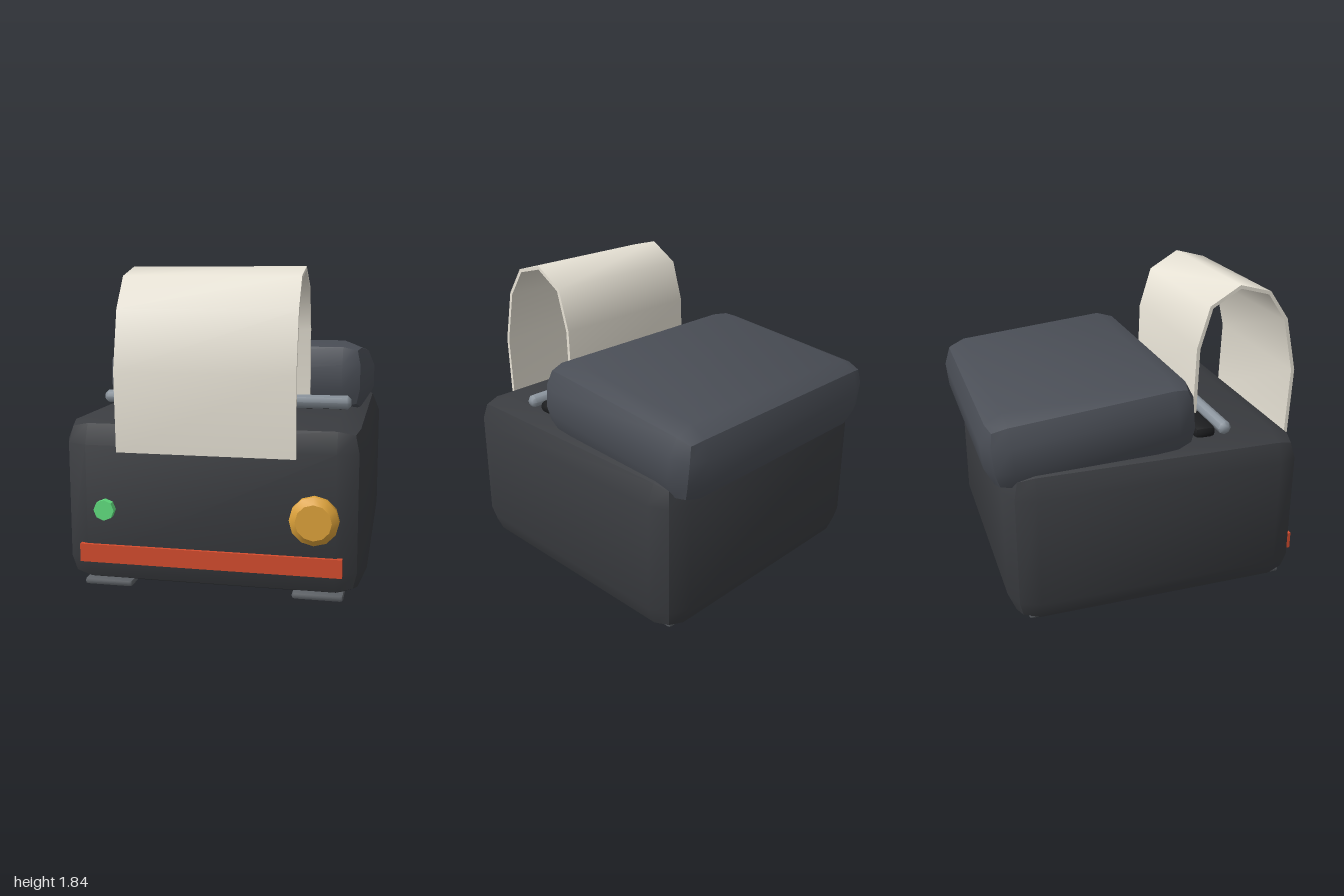
import * as THREE from 'three';
import { toCreasedNormals } from 'three/addons/utils/BufferGeometryUtils.js';

const mat = (color) => new THREE.MeshStandardMaterial({ color });

export function createModel() {
  const group = new THREE.Group();

  const add = (name, geometry, material, x, y, z, crease = 0.6) => {
    const mesh = new THREE.Mesh(toCreasedNormals(geometry, crease), material);
    mesh.name = name;
    mesh.position.set(x, y, z);
    group.add(mesh);
    return mesh;
  };

  // Box whose edges carry a two-step round of radius r
  const bevelBox = (w, h, d, r) => {
    const geo = new THREE.BoxGeometry(1, 1, 1, 3, 3, 3);
    const p = geo.attributes.position;
    const half = new THREE.Vector3(w, h, d).multiplyScalar(0.5).subScalar(r);
    const v = new THREE.Vector3();
    const dir = new THREE.Vector3();
    for (let i = 0; i < p.count; i++) {
      v.fromBufferAttribute(p, i);
      const step = (c) => (Math.abs(c) > 0.4 ? Math.sign(c) : 0);
      dir.set(step(v.x), step(v.y), step(v.z)).normalize().multiplyScalar(r);
      v.set(Math.sign(v.x), Math.sign(v.y), Math.sign(v.z)).multiply(half).add(dir);
      p.setXYZ(i, v.x, v.y, v.z);
    }
    return geo;
  };

  // Turned part from [radius, height] pairs
  const turned = (profile, sides) =>
    new THREE.LatheGeometry(profile.map(([r, y]) => new THREE.Vector2(r, y)), sides);

  // Housing and tilted lid
  add('body', bevelBox(1.75, 1.0, 1.797, 0.165), mat(0x3a3c40), 0, 0.511, 0.005);
  const lid = add('lid', bevelBox(1.66, 0.45, 1.246, 0.15), mat(0x4a4e56), 0, 1.125, -0.367);
  lid.rotation.x = -0.1;

  // Feet
  const footMat = mat(0x5c6065);
  for (const x of [-0.61, 0.61]) {
    for (const z of [-0.635, 0.71]) {
      add('foot', bevelBox(0.29, 0.04, 0.29, 0.018), footMat, x, 0.02, z);
    }
  }

  // Paper slot and tear bar
  add('paperSlot', bevelBox(1.44, 0.08, 0.135, 0.036), mat(0x1c1d1f), 0, 1.034, 0.32);
  const bar = turned([[0, -0.75], [0.022, -0.75], [0.04, -0.73], [0.04, 0.73], [0.022, 0.75], [0, 0.75]], 8);
  add('tearBar', bar.rotateZ(Math.PI / 2), mat(0x8a939c), 0, 1.06, 0.43, 0.9);

  // Paper strip: outer curve as [z, y], closed by an inward offset
  const outer = [[0.979, 0.826], [0.995, 1.28], [0.92, 1.612], [0.797, 1.789],
    [0.599, 1.842], [0.412, 1.73], [0.337, 1.479], [0.324, 1.0]]
    .map(([z, y]) => new THREE.Vector2(-z, y));
  const inner = outer.map((pt, i) => {
    const a = outer[Math.max(i - 1, 0)];
    const b = outer[Math.min(i + 1, outer.length - 1)];
    const t = b.clone().sub(a).normalize();
    return new THREE.Vector2(pt.x + t.y * 0.022, pt.y - t.x * 0.022);
  });
  const paper = new THREE.ExtrudeGeometry(new THREE.Shape([...outer, ...inner.reverse()]),
    { depth: 1, bevelEnabled: false });
  paper.translate(0, 0, -0.5).rotateY(Math.PI / 2);
  add('paper', paper, mat(0xe8e3d6), 0, 0, 0, 0.9);

  // Front controls
  const knob = turned([[0, 0], [0.137, 0], [0.137, 0.035], [0.1, 0.066], [0, 0.066]], 12);
  add('knob', knob.rotateX(Math.PI / 2), mat(0xdda23a), 0.595, 0.48, 0.9);
  const button = turned([[0, 0], [0.06, 0], [0.06, 0.06], [0, 0.06]], 8);
  add('indicatorLight', button.rotateX(Math.PI / 2), mat(0x62e080), -0.595, 0.48, 0.884);
  add('frontStripe', new THREE.BoxGeometry(1.5, 0.105, 0.04), mat(0xd44c2e), 0, 0.217, 0.903);

  return group;
}
